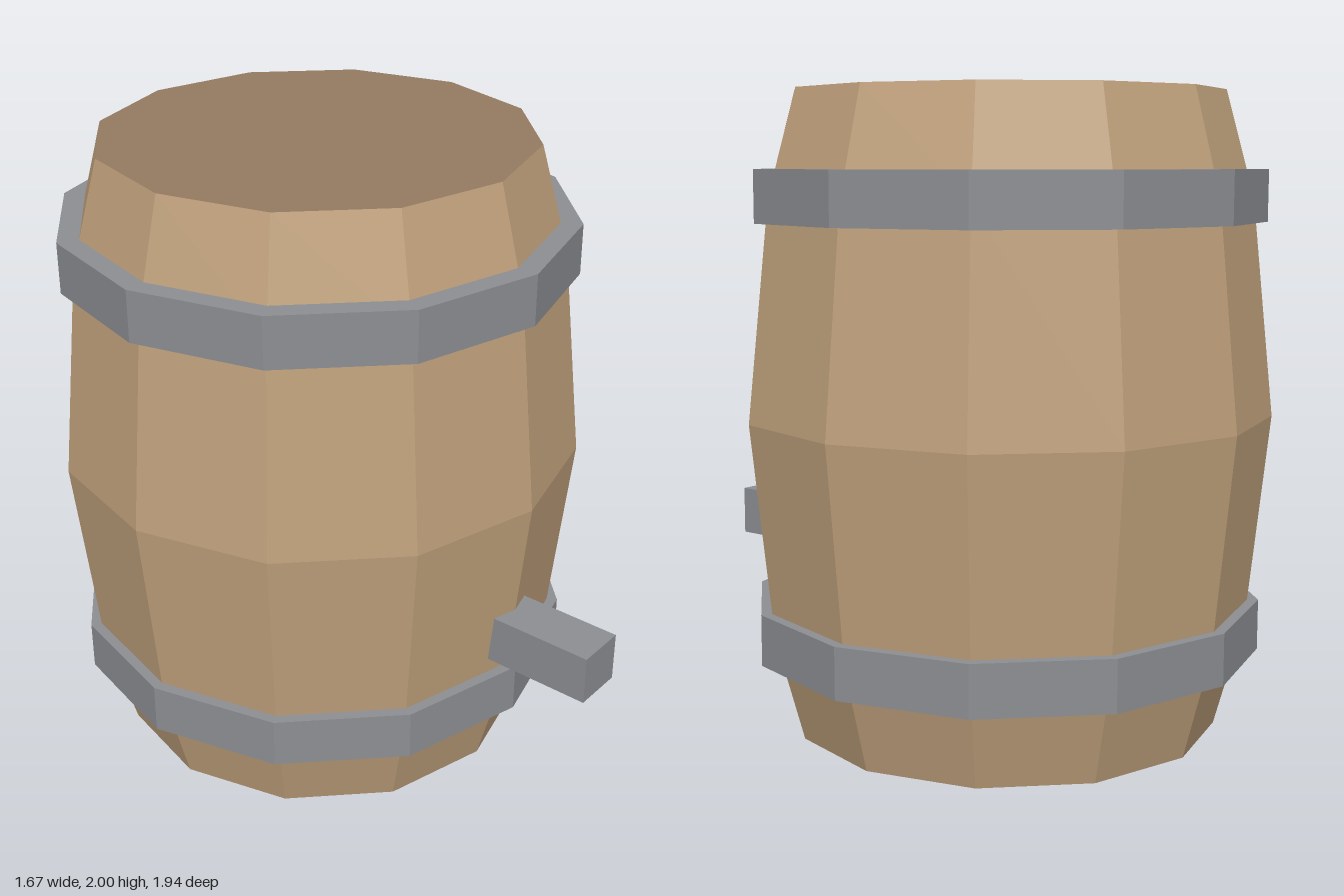
import * as THREE from 'three';

const SIDES = 12;
const AXIS_Z = -0.135; // barrel sits back so the tap balances the depth

const material = (name, color) => {
  const m = new THREE.MeshStandardMaterial({ color });
  m.name = name;
  return m;
};

export function createModel() {
  const wood = material('staveWood', 0xc0a17c);
  const darkWood = material('lidWood', 0x957a60);
  const metal = material('greyMetal', 0x8c8e92);

  const model = new THREE.Group();
  model.name = 'barrel';

  const add = (name, geometry, mat, x, y, z) => {
    // Unshared vertices with face normals keep every facet flat
    const flat = geometry.index ? geometry.toNonIndexed() : geometry;
    flat.computeVertexNormals();
    const mesh = new THREE.Mesh(flat, mat);
    mesh.name = name;
    mesh.position.set(x, y, z);
    model.add(mesh);
    return mesh;
  };
  const lathe = (points) =>
    new THREE.LatheGeometry(points.map(([r, y]) => new THREE.Vector2(r, y)), SIDES);

  // Bulging staves
  add('staves', lathe([[0.675, 0], [0.765, 0.33], [0.835, 1], [0.765, 1.67], [0.675, 2]]),
    wood, 0, 0, AXIS_Z);

  // Flat ends
  add('topLid', new THREE.CircleGeometry(0.675, SIDES), darkWood, 0, 2, AXIS_Z).rotation.x = -Math.PI / 2;
  add('bottomLid', new THREE.CircleGeometry(0.675, SIDES), darkWood, 0, 0, AXIS_Z).rotation.x = Math.PI / 2;

  // Hoops
  for (const [name, y] of [['lowerHoop', 0.33], ['upperHoop', 1.68]]) {
    add(name, lathe([[0.73, -0.08], [0.808, -0.08], [0.808, 0.08], [0.73, 0.08]]),
      metal, 0, y, AXIS_Z);
  }

  // Square tap sticking out of the front
  add('tap', new THREE.BoxGeometry(0.165, 0.16, 0.4), metal, 0, 0.545, 0.775);

  return model;
}
